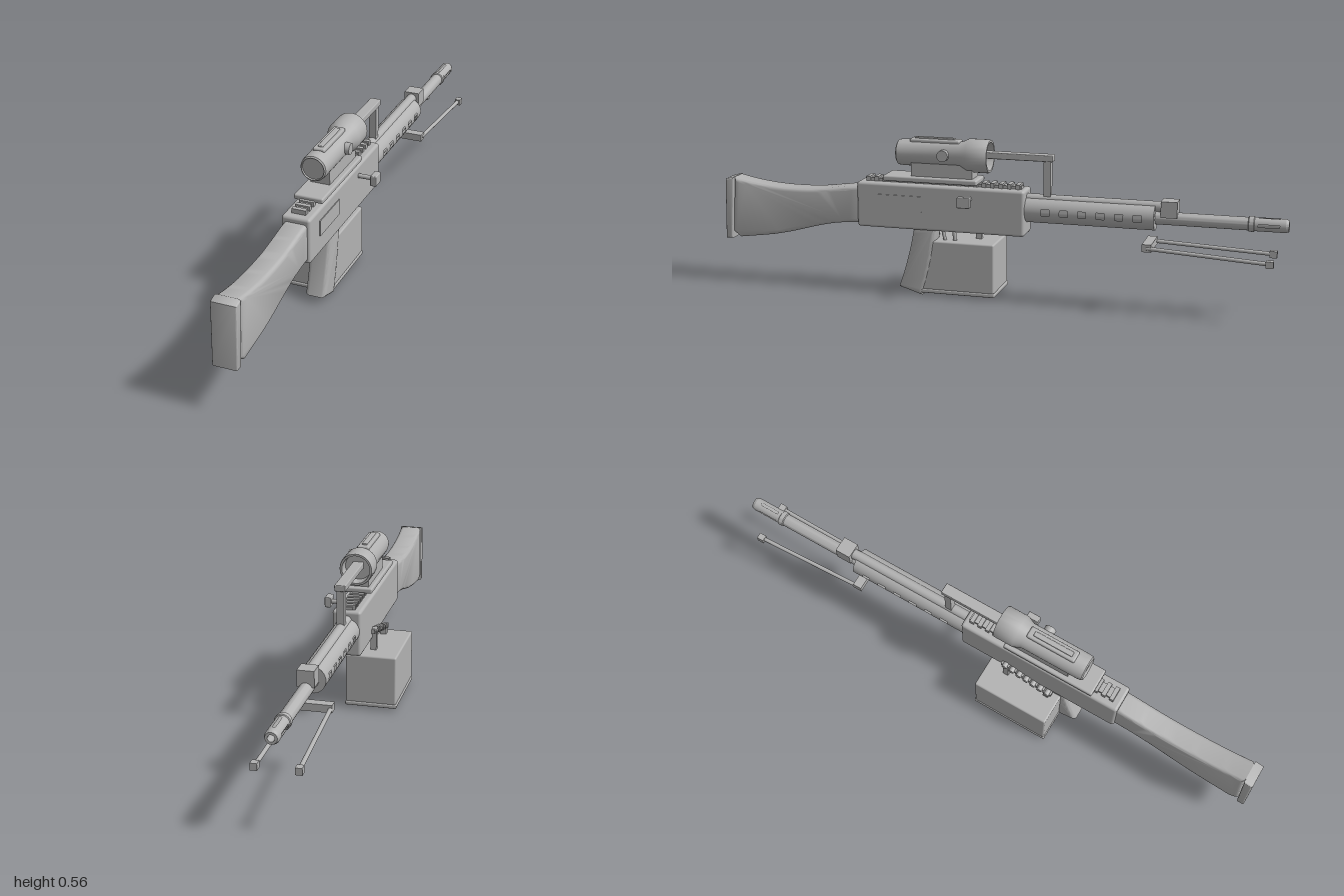
import * as THREE from 'three';
import { toCreasedNormals } from 'three/addons/utils/BufferGeometryUtils.js';
import { RoundedBoxGeometry } from 'three/addons/geometries/RoundedBoxGeometry.js';

const CX = 0.013; // centre line of the body

export function createModel() {
  const model = new THREE.Group();
  model.name = 'model';
  const grey = new THREE.MeshStandardMaterial({ color: 0xb2b2b2, side: THREE.DoubleSide });
  grey.name = 'plain grey';

  const add = (name, geometry, parent = model) => {
    const mesh = new THREE.Mesh(geometry, grey);
    mesh.name = name;
    parent.add(mesh);
    return mesh;
  };
  const group = (name) => {
    const g = new THREE.Group();
    g.name = name;
    model.add(g);
    return g;
  };
  // Box given by its limits; r rounds the edges
  const box = (name, [x0, x1], [y0, y1], [z0, z1], r = 0, parent = model) => {
    const s = [x1 - x0, y1 - y0, z1 - z0];
    const g = r ? new RoundedBoxGeometry(...s, 3, r) : new THREE.BoxGeometry(...s);
    g.translate((x0 + x1) / 2, (y0 + y1) / 2, (z0 + z1) / 2);
    return add(name, g, parent);
  };
  // Turned part along z; profile is [radius, z] with z rising on the outside
  const turned = (name, profile, y, parent = model) => {
    const g = new THREE.LatheGeometry(profile.map((p) => new THREE.Vector2(...p)), 32);
    g.rotateX(Math.PI / 2).translate(CX, y, 0);
    return add(name, toCreasedNormals(g, 0.5), parent);
  };
  // Rod between two points
  const rod = (name, a, b, r, parent = model) => {
    const p = new THREE.Vector3(...a), d = new THREE.Vector3(...b).sub(p);
    const mesh = add(name, new THREE.CylinderGeometry(r, r, d.length(), 16), parent);
    mesh.position.copy(p).addScaledVector(d, 0.5);
    mesh.quaternion.setFromUnitVectors(new THREE.Vector3(0, 1, 0), d.normalize());
    return mesh;
  };
  // Side outline drawn in (z, y), extruded across x with softened edges
  const sideExtrude = (name, shape, width, bevel) => {
    const g = new THREE.ExtrudeGeometry(shape, {
      depth: width - 2 * bevel, bevelSize: bevel, bevelThickness: bevel,
      bevelOffset: -bevel, bevelSegments: 4, curveSegments: 12,
    });
    g.translate(0, 0, bevel - width / 2).rotateY(-Math.PI / 2).translate(CX, 0, 0);
    return add(name, toCreasedNormals(g, 0.6), model);
  };
  // Thin tube along z with rows of openings at the given angles
  const slottedTube = (name, r, z0, z1, y, angles, half, slots) => {
    const parent = group(name);
    const arc = (a, len, za, zb) => {
      const g = new THREE.CylinderGeometry(r, r, zb - za, Math.max(2, Math.ceil(len * 6)), 1, true, a, len);
      g.rotateX(Math.PI / 2).translate(CX, y, (za + zb) / 2);
      add('wall', g, parent);
    };
    angles.forEach((a, i) => {
      const next = i + 1 < angles.length ? angles[i + 1] : angles[0] + 2 * Math.PI;
      arc(a + half, next - a - 2 * half, z0, z1);
      let z = z0;
      for (const [s0, s1] of slots) {
        arc(a - half, 2 * half, z, s0);
        z = s1;
      }
      arc(a - half, 2 * half, z, z1);
    });
    return parent;
  };

  // Stock and butt plate
  const stock = new THREE.Shape();
  stock.moveTo(0.475, 0.25);
  stock.lineTo(0.52, 0.247);
  stock.bezierCurveTo(0.64, 0.24, 0.72, 0.195, 0.85, 0.178);
  stock.lineTo(0.945, 0.165);
  stock.lineTo(0.972, 0.185);
  stock.lineTo(0.962, 0.385);
  stock.bezierCurveTo(0.86, 0.362, 0.78, 0.357, 0.68, 0.36);
  stock.bezierCurveTo(0.6, 0.363, 0.55, 0.377, 0.475, 0.382);
  sideExtrude('stock', stock, 0.082, 0.014);
  const butt = new THREE.Shape();
  butt.moveTo(0.974, 0.16);
  butt.lineTo(1.0, 0.16);
  butt.lineTo(0.994, 0.378);
  butt.lineTo(0.962, 0.386);
  sideExtrude('buttPlate', butt, 0.086, 0.006);

  // Receiver with side panel and ribbed top rail
  box('receiver', [-0.036, 0.063], [0.24, 0.4], [-0.117, 0.487], 0.01);
  box('sidePanel', [0.06, 0.066], [0.305, 0.36], [0.25, 0.41]);
  const rail = group('topRail');
  box('railBase', [-0.005, 0.031], [0.395, 0.41], [-0.1, 0.46], 0, rail);
  for (let i = 0; i < 19; i++) {
    const z = -0.095 + i * 0.03;
    box('railRib', [-0.012, 0.038], [0.4, 0.416], [z, z + 0.015], 0, rail);
  }

  // Charging handle
  rod('chargingRod', [0.05, 0.363, 0.075], [0.118, 0.363, 0.075], 0.008);
  box('chargingKnob', [0.113, 0.135], [0.345, 0.382], [0.055, 0.1], 0.003);

  // Sight mount and sight
  box('mountPlate', [-0.036, 0.066], [0.409, 0.428], [0.05, 0.39], 0.006);
  box('mountBlock', [-0.02, 0.048], [0.42, 0.475], [0.07, 0.29]);
  const sight = group('sight');
  turned('sightBody', [
    [0, 0.055], [0.046, 0.055], [0.049, 0.015], [0.056, 0.015], [0.058, 0.02], [0.058, 0.09],
    [0.046, 0.115], [0.046, 0.325], [0.044, 0.342], [0.039, 0.346], [0.039, 0.338], [0, 0.338],
  ], 0.505, sight);
  box('sightTopRidge', [-0.008, 0.034], [0.53, 0.557], [0.12, 0.3], 0.006, sight);
  box('sightTopStrip', [0.004, 0.022], [0.55, 0.562], [0.14, 0.285], 0.003, sight);
  rod('sightKnob', [0.04, 0.508, 0.17], [0.073, 0.508, 0.17], 0.02, sight);

  // Carry handle
  box('handleBar', [-0.006, 0.032], [0.5, 0.522], [-0.208, 0.056], 0.003);
  box('handlePost', [0, 0.026], [0.37, 0.505], [-0.2, -0.176]);

  // Ventilated handguard, gas tube and front block
  const vents = Array.from({ length: 6 }, (_, i) => -0.519 + i * 0.063).map((z) => [z, z + 0.028]);
  slottedTube('handguard', 0.045, -0.56, -0.11, 0.33, [Math.PI / 2, Math.PI * 1.5], 0.24, vents);
  turned('handguardCap', [[0.02, -0.56], [0.045, -0.56]], 0.33);
  turned('handguardLiner', [[0.036, -0.555], [0.036, -0.115]], 0.33);
  rod('gasTube', [CX, 0.367, -0.1], [CX, 0.367, -0.6], 0.018);
  box('frontBlock', [-0.015, 0.041], [0.335, 0.39], [-0.635, -0.58]);

  // Barrel and slotted muzzle
  turned('barrel', [[0.022, -0.875], [0.022, -0.1]], 0.328);
  turned('muzzleCollar', [[0.02, -0.89], [0.026, -0.886], [0.026, -0.87], [0.02, -0.866]], 0.328);
  slottedTube('muzzle', 0.023, -0.99, -0.88, 0.328,
    [0, Math.PI / 2, Math.PI, Math.PI * 1.5], 0.2, [[-0.97, -0.9]]);
  turned('muzzleTip', [[0, -0.95], [0.011, -0.95], [0.011, -1], [0.019, -1], [0.023, -0.988]], 0.328);
  turned('muzzleLiner', [[0.018, -0.99], [0.018, -0.87]], 0.328);

  // Folded bipod
  const bipod = group('bipod');
  box('bipodCrossbar', [-0.05, 0.074], [0.222, 0.248], [-0.557, -0.525], 0, bipod);
  for (const s of [-1, 1]) {
    rod('bipodLeg', [CX + s * 0.056, 0.234, -0.54], [CX + s * 0.067, 0.213, -0.945], 0.007, bipod);
    const x = CX + s * 0.068;
    box('bipodFoot', [x - 0.011, x + 0.011], [0.201, 0.224], [-0.96, -0.935], 0, bipod);
  }

  // Pistol grip
  const grip = new THREE.Shape();
  grip.moveTo(0.205, 0.245);
  grip.quadraticCurveTo(0.215, 0.12, 0.257, 0.0);
  grip.lineTo(0.343, 0.026);
  grip.quadraticCurveTo(0.305, 0.13, 0.285, 0.245);
  sideExtrude('grip', grip, 0.072, 0.014);

  // Trigger and guard
  const bow = new THREE.CatmullRomCurve3([
    [0.225, 0.185], [0.195, 0.17], [0.16, 0.172], [0.146, 0.19], [0.148, 0.245],
  ].map(([z, y]) => new THREE.Vector3(CX, y, z)));
  add('triggerGuard', new THREE.TubeGeometry(bow, 24, 0.007, 8));
  rod('trigger', [CX, 0.245, 0.19], [CX, 0.19, 0.178], 0.006);

  // Magazine box with base lip
  box('magazineBox', [-0.135, 0.045], [0.022, 0.2], [-0.005, 0.277], 0.006);
  box('magazineLip', [-0.137, 0.047], [0.01, 0.025], [-0.008, 0.28], 0.005);

  // Feed belt stepping along the side of the receiver
  const belt = group('feedBelt');
  for (let i = 0; i < 7; i++) {
    const z = 0.065 + i * 0.028, y = 0.275 - i * 0.0075;
    rod('beltRound', [-0.054, y, z], [-0.01, y, z], 0.01, belt);
    box('beltLink', [-0.047, -0.03], [y - 0.012, y + 0.004], [z - 0.016, z + 0.016], 0, belt);
  }
  box('beltFeedPost', [-0.05, -0.03], [0.19, 0.27], [0.06, 0.08], 0, belt);
  box('beltTailPost', [-0.05, -0.03], [0.19, 0.235], [0.22, 0.24], 0, belt);

  return model;
}
